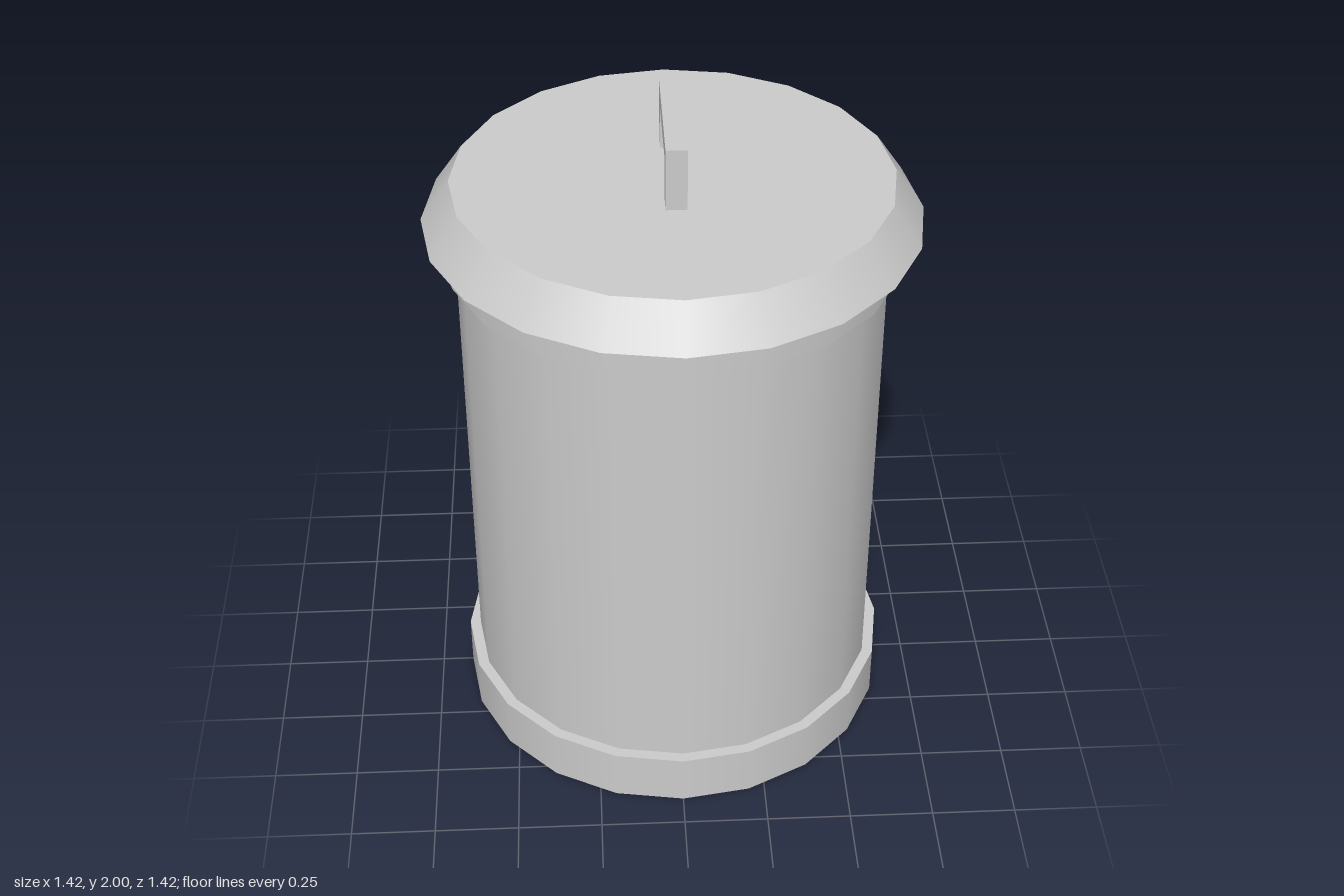
import * as THREE from 'three';

const SIDES = 20;

export function createModel() {
  const group = new THREE.Group();
  const material = new THREE.MeshStandardMaterial({ color: 0xcccccc });

  function add(name, geometry) {
    const mesh = new THREE.Mesh(geometry, material);
    mesh.name = name;
    group.add(mesh);
    return mesh;
  }

  // Closed round section between two heights
  function drum(name, rTop, rBottom, y0, y1) {
    const mesh = add(name, new THREE.CylinderGeometry(rTop, rBottom, y1 - y0, SIDES));
    mesh.position.y = (y0 + y1) / 2;
  }

  // Can: base band, body and top rim
  drum('baseBand', 0.655, 0.655, 0, 0.16);
  drum('body', 0.622, 0.622, 0.16, 1.58);
  drum('topRim', 0.655, 0.655, 1.58, 1.675);

  // Sloped lid, resting just clear of the rim
  drum('lid', 0.628, 0.712, 1.683, 1.806);

  // Squared U-shaped handle running front to back
  const outline = [
    [-0.2, 1.815], [-0.14, 1.815], [-0.14, 1.943], [0.14, 1.943],
    [0.14, 1.815], [0.2, 1.815], [0.2, 2], [-0.2, 2],
  ].map(([x, y]) => new THREE.Vector2(x, y));
  const handle = new THREE.ExtrudeGeometry(new THREE.Shape(outline), { depth: 0.06, bevelEnabled: false });
  handle.translate(0, 0, -0.03).rotateY(Math.PI / 2);
  add('lidHandle', handle);

  return group;
}
